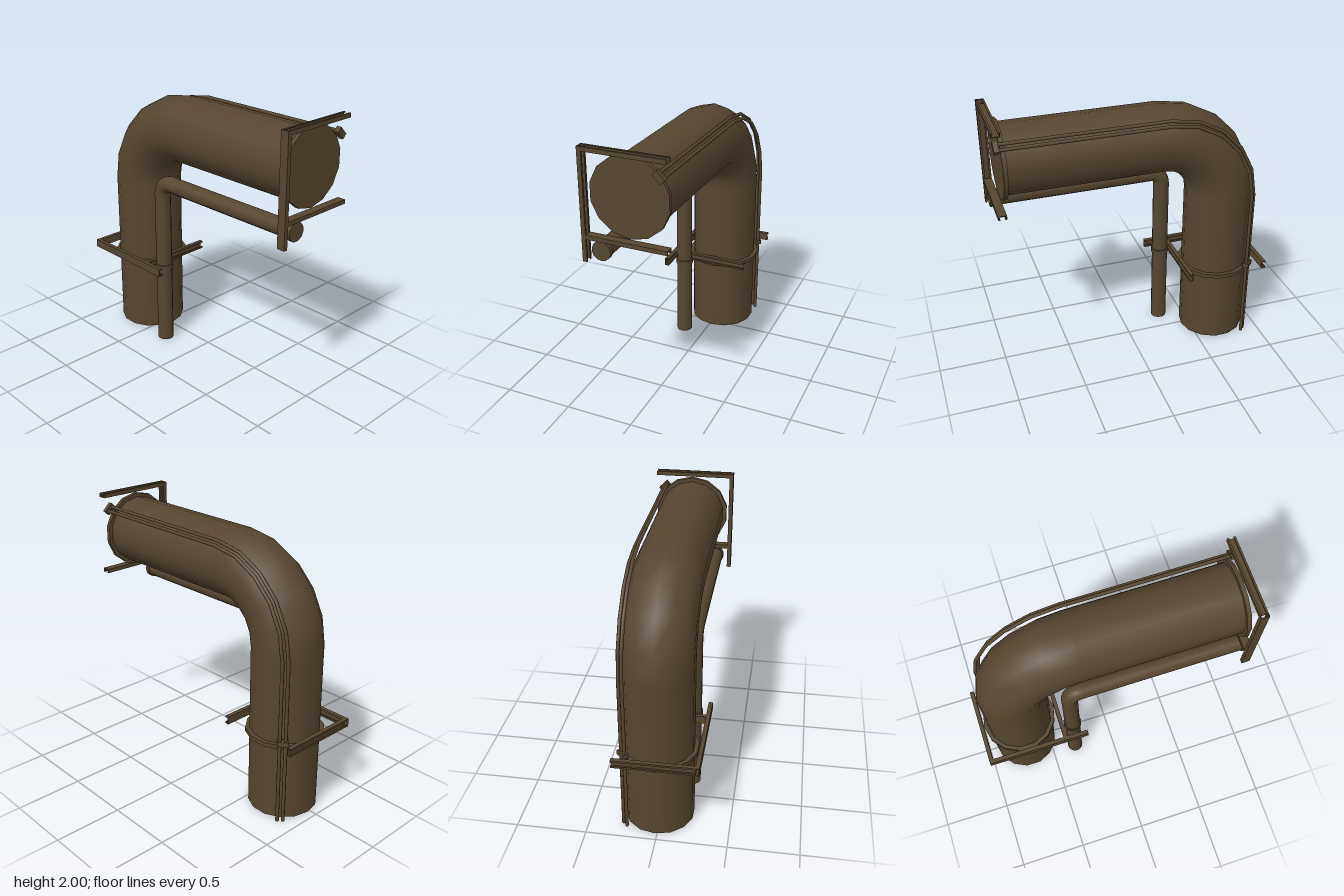
import * as THREE from 'three';

const SIDES = 14;
const BEND = { x: -0.22, y: 1.22 }; // shared centre of every elbow
const MAIN_Z = -0.018;

// Pipe that rises from the floor, turns through an elbow and runs along +x
function elbowPipe(radius, bendRadius, z, endX, sides = SIDES, bendSteps = 5) {
  const stations = [{ x: BEND.x - bendRadius, y: 0, phi: 0 }];
  for (let i = 0; i <= bendSteps; i++) {
    const phi = (i / bendSteps) * Math.PI / 2;
    stations.push({ x: BEND.x - Math.cos(phi) * bendRadius, y: BEND.y + Math.sin(phi) * bendRadius, phi });
  }
  stations.push({ x: endX, y: BEND.y + bendRadius, phi: Math.PI / 2 });

  const pos = [], nor = [], idx = [];
  const ring = (s, capNormal) => {
    for (let j = 0; j < sides; j++) {
      const a = (j / sides) * Math.PI * 2;
      const n = [-Math.cos(s.phi) * Math.cos(a), Math.sin(s.phi) * Math.cos(a), Math.sin(a)];
      pos.push(s.x + n[0] * radius, s.y + n[1] * radius, z + n[2] * radius);
      nor.push(...(capNormal || n));
    }
  };
  stations.forEach((s) => ring(s));
  for (let i = 0; i < stations.length - 1; i++) {
    for (let j = 0; j < sides; j++) {
      const k = (j + 1) % sides;
      const a = i * sides + j, b = i * sides + k;
      idx.push(a, b, b + sides, a, b + sides, a + sides);
    }
  }
  // flat end caps
  const low = stations.length * sides, high = low + sides;
  ring(stations[0], [0, -1, 0]);
  ring(stations[stations.length - 1], [1, 0, 0]);
  for (let j = 1; j < sides - 1; j++) {
    idx.push(low, low + j + 1, low + j);
    idx.push(high, high + j, high + j + 1);
  }
  const g = new THREE.BufferGeometry();
  g.setAttribute('position', new THREE.Float32BufferAttribute(pos, 3));
  g.setAttribute('normal', new THREE.Float32BufferAttribute(nor, 3));
  g.setIndex(idx);
  return g;
}

// Lipped C-channel: back at x = 0, open towards +x, running along +z
function channel(length) {
  const d = 0.03, w = 0.06, t = 0.006, lip = 0.014;
  const shape = new THREE.Shape([
    [0, 0], [d, 0], [d, lip], [d - t, lip], [d - t, t], [t, t],
    [t, w - t], [d - t, w - t], [d - t, w - lip], [d, w - lip], [d, w], [0, w],
  ].map(([x, y]) => new THREE.Vector2(x, y)));
  return new THREE.ExtrudeGeometry(shape, { depth: length, bevelEnabled: false });
}

export function createModel() {
  const model = new THREE.Group();
  model.name = 'pipeElbow';
  const brown = new THREE.MeshStandardMaterial({ color: 0x564630 });
  brown.name = 'brown';

  const add = (parent, name, geometry, x = 0, y = 0, z = 0, rotY = 0) => {
    const mesh = new THREE.Mesh(geometry, brown);
    mesh.name = name;
    mesh.position.set(x, y, z);
    mesh.rotation.y = rotY;
    parent.add(mesh);
    return mesh;
  };

  // Pipes
  add(model, 'mainPipe', elbowPipe(0.25, 0.47, MAIN_Z, 0.94));
  add(model, 'smallPipe', elbowPipe(0.06, 0.09, 0.17, 0.98));

  // Pair of thin conduits along the back of the main pipe
  add(model, 'outerConduit', elbowPipe(0.013, 0.669, -0.226, 0.975, 8));
  add(model, 'innerConduit', elbowPipe(0.013, 0.641, -0.254, 0.975, 8));

  // Support bracket, built around the vertical run's axis
  const bracket = (name) => {
    const g = new THREE.Group();
    g.name = name;
    const collar = (r, h) => new THREE.CylinderGeometry(r, r, h, SIDES);
    add(g, 'mainCollar', collar(0.28, 0.03), 0, -0.015, MAIN_Z, Math.PI / 2);
    add(g, 'smallCollar', collar(0.068, 0.034), 0.38, 0.03, 0.17, Math.PI / 2);
    add(g, 'conduitClip', new THREE.BoxGeometry(0.045, 0.035, 0.08), -0.185, 0.028, -0.24, -Math.PI / 4);
    add(g, 'innerArm', channel(0.57), 0.28, 0, -0.3);
    add(g, 'outerArm', channel(0.57), -0.28, 0, 0.27, Math.PI);
    add(g, 'frontRail', channel(0.78), -0.31, 0, 0.3, Math.PI / 2);
    model.add(g);
    return g;
  };
  bracket('lowerBracket').position.set(-0.69, 0.6, 0);
  const end = bracket('endBracket');
  end.position.set(0.94, 1.69, 0);
  end.rotation.z = -Math.PI / 2;

  return model;
}
